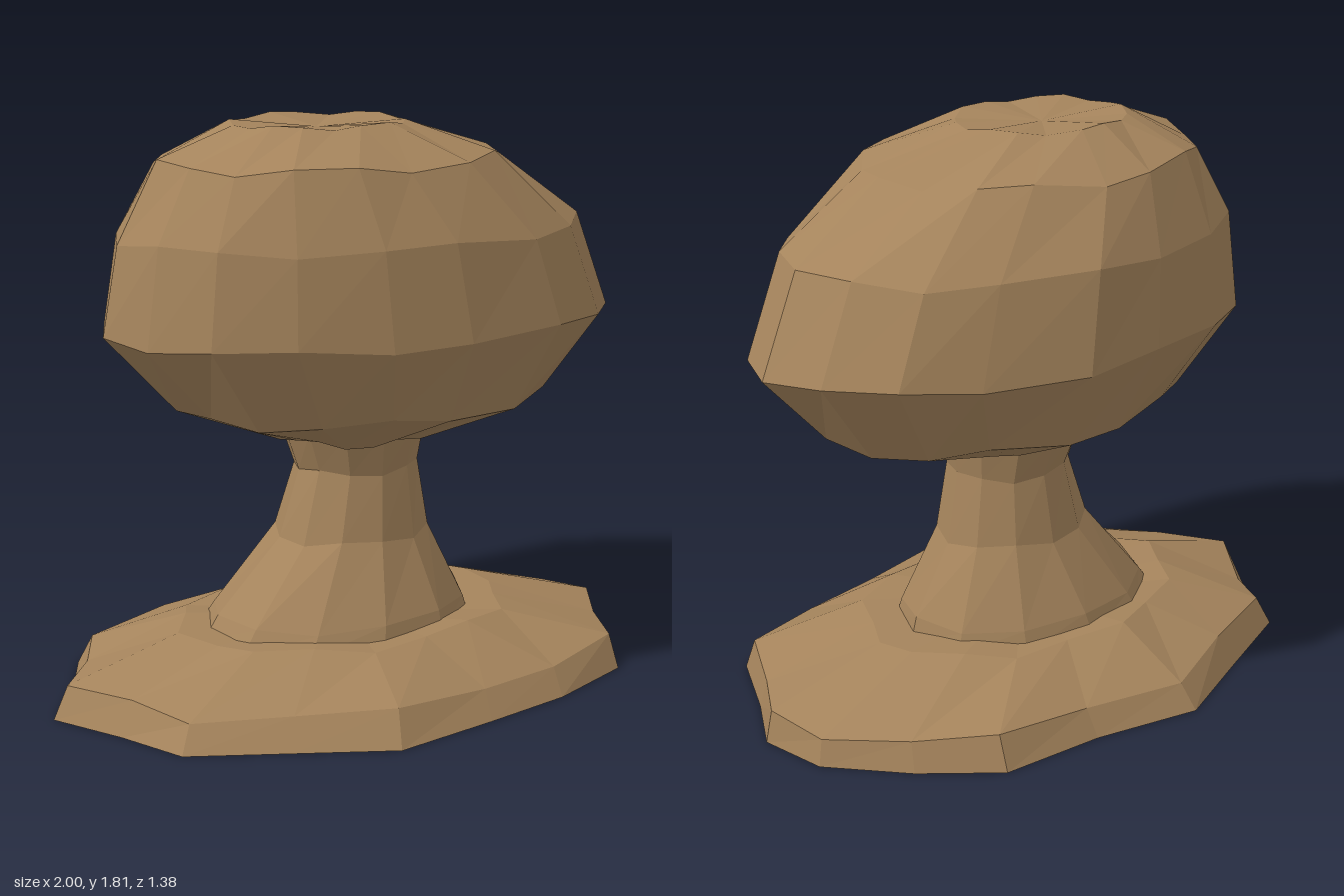
import * as THREE from 'three';

// Plan outlines, counter-clockwise seen from above, as [x, z]
const slabOutline = [
  [1, 0], [0.95, -0.22], [0.75, -0.43], [0.53, -0.6], [0.19, -0.62], [-0.16, -0.69],
  [-0.45, -0.56], [-0.77, -0.42], [-0.85, -0.24], [-1, 0], [-0.86, 0.22], [-0.75, 0.43],
  [-0.45, 0.56], [-0.15, 0.69], [0.2, 0.63], [0.5, 0.57], [0.8, 0.45], [0.9, 0.2],
];
const capOutline = [
  [0.95, 0], [0.88, -0.2], [0.74, -0.38], [0.52, -0.48], [0.2, -0.58], [-0.08, -0.56],
  [-0.4, -0.47], [-0.6, -0.36], [-0.73, -0.18], [-0.8, 0], [-0.73, 0.18], [-0.6, 0.35],
  [-0.38, 0.47], [-0.1, 0.54], [0.16, 0.55], [0.5, 0.5], [0.75, 0.34], [0.89, 0.18],
];
const stemOutline = Array.from({ length: 12 }, (_, i) => {
  const a = (i / 12) * Math.PI * 2;
  return [Math.cos(a), -Math.sin(a)];
});

// Loft an outline through rings [y, left, right, back, front, wobble], closed at both ends
function loft(outline, rings, bottomY, topY) {
  const xs = outline.map(p => p[0]), zs = outline.map(p => p[1]);
  const x0 = Math.min(...xs), x1 = Math.max(...xs), z0 = Math.min(...zs), z1 = Math.max(...zs);
  const n = outline.length, pos = [], index = [];
  rings.forEach(([y, left, right, back, front, wobble = 0], r) => {
    outline.forEach(([x, z], i) => {
      const u = (x - x0) / (x1 - x0), v = (z - z0) / (z1 - z0);
      pos.push(left + u * (right - left),
        y + wobble * Math.sin(i * 1.9 + r * 2.3),
        back + v * (front - back));
    });
  });
  for (let r = 0; r < rings.length - 1; r++) {
    for (let i = 0; i < n; i++) {
      const a = r * n + i, b = r * n + (i + 1) % n;
      index.push(a, b, b + n, a, b + n, a + n);
    }
  }
  // End fans
  const addFan = (ring, y, up) => {
    const [, l, r, b, f] = rings[ring], c = pos.length / 3;
    pos.push((l + r) / 2, y, (b + f) / 2);
    for (let i = 0; i < n; i++) {
      const p = ring * n + i, q = ring * n + (i + 1) % n;
      index.push(c, up ? p : q, up ? q : p);
    }
  };
  addFan(0, bottomY, false);
  addFan(rings.length - 1, topY, true);
  const geo = new THREE.BufferGeometry();
  geo.setAttribute('position', new THREE.Float32BufferAttribute(pos, 3));
  geo.setIndex(index);
  const flat = geo.toNonIndexed();
  flat.computeVertexNormals();
  return flat;
}

export function createModel() {
  const group = new THREE.Group();
  const stone = new THREE.MeshStandardMaterial({ color: 0xa5845c });
  stone.name = 'sandstone';
  stone.flatShading = true;

  const add = (name, geometry) => {
    const mesh = new THREE.Mesh(geometry, stone);
    mesh.name = name;
    group.add(mesh);
  };

  // Broad ground slab with a sloping top
  add('baseSlab', loft(slabOutline, [
    [0, -1, 1, -0.69, 0.69],
    [0.095, -0.95, 0.98, -0.64, 0.63, 0.015],
    [0.21, -0.58, 0.57, -0.41, 0.41, 0.01],
  ], 0, 0.19));

  // Eroded pillar, flared at the foot
  add('pillar', loft(stemOutline, [
    [0.17, -0.49, 0.45, -0.35, 0.34],
    [0.24, -0.44, 0.43, -0.33, 0.32, 0.008],
    [0.48, -0.22, 0.3, -0.22, 0.21, 0.012],
    [0.7, -0.15, 0.26, -0.19, 0.18, 0.01],
    [0.84, -0.2, 0.28, -0.23, 0.22],
  ], 0.17, 0.84));

  // Heavy boulder balanced on the pillar
  add('capBoulder', loft(capOutline, [
    [0.815, -0.22, 0.3, -0.26, 0.25, 0.012],
    [0.93, -0.57, 0.74, -0.46, 0.44, 0.015],
    [1.185, -0.8, 0.95, -0.58, 0.55, 0.014],
    [1.475, -0.75, 0.82, -0.55, 0.53, 0.012],
    [1.7, -0.62, 0.52, -0.44, 0.44, 0.015],
    [1.805, -0.37, 0.2, -0.24, 0.24, 0.008],
  ], 0.83, 1.785));

  return group;
}
